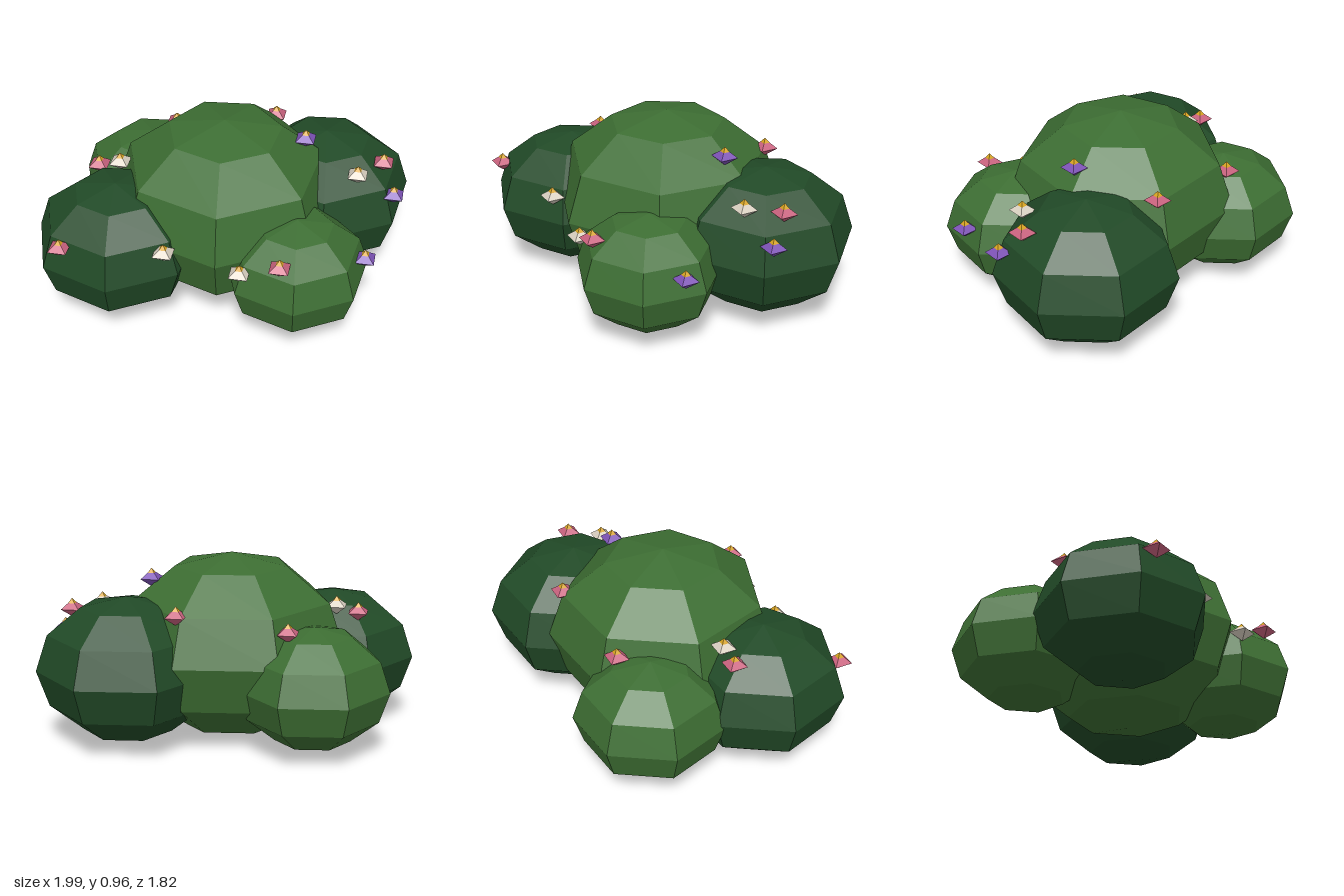
import * as THREE from 'three';

const mat = (name, color) => {
  const m = new THREE.MeshStandardMaterial({ color });
  m.name = name;
  return m;
};

export function createModel() {
  const bush = new THREE.Group();
  bush.name = 'floweringBush';

  const leafGreen = mat('leaf green', 0x3d6e33);
  const deepGreen = mat('deep green', 0x214a27);
  const pink = mat('pink petal', 0xc9627e);
  const cream = mat('cream petal', 0xd8cfc0);
  const purple = mat('purple petal', 0x7d52b5);
  const yellow = mat('flower centre yellow', 0xd9a520);

  // Faceted foliage clumps: seven-sided spheres, flattened to 80% height
  const clumpGeo = new THREE.SphereGeometry(1, 7, 6).toNonIndexed();
  clumpGeo.computeVertexNormals();
  const clumps = [
    ['mainClump', leafGreen, 0.6, 0.02, 0.48, 0],
    ['leftClump', deepGreen, 0.466, 0.575, 0.4, 0.14],
    ['rightClump', deepGreen, 0.437, -0.555, 0.365, -0.135],
    ['frontClump', leafGreen, 0.375, 0.09, 0.335, 0.54],
    ['backClump', leafGreen, 0.39, -0.1, 0.345, -0.535],
  ];
  for (const [name, material, r, x, y, z] of clumps) {
    const clump = new THREE.Mesh(clumpGeo, material);
    clump.name = name;
    clump.position.set(x, y, z);
    clump.scale.set(r, r * 0.8, r);
    bush.add(clump);
  }

  // Flowers: a squashed diamond of petals with a small yellow centre on top
  const petalGeo = new THREE.OctahedronGeometry(0.067).scale(1, 0.67, 1);
  const centreGeo = new THREE.OctahedronGeometry(0.032).translate(0, 0.021, 0);
  const flowers = [
    [purple, 0.38, 0.83, 0.21],
    [purple, 0.71, 0.545, 0.55],
    [purple, 0.345, 0.435, 0.775],
    [pink, -0.933, 0.52, -0.05],
    [pink, -0.14, 0.545, 0.71],
    [pink, 0.73, 0.675, 0.43],
    [pink, -0.49, 0.65, -0.415],
    [pink, 0.07, 0.65, -0.545],
    [pink, 0.495, 0.725, -0.2],
    [cream, -0.52, 0.51, 0.26],
    [cream, 0.54, 0.68, 0.45],
    [cream, -0.265, 0.46, 0.55],
    [cream, -0.41, 0.68, -0.335],
  ];
  flowers.forEach(([material, x, y, z], i) => {
    const flower = new THREE.Group();
    flower.name = `flower${i + 1}`;
    const petals = new THREE.Mesh(petalGeo, material);
    petals.name = 'petals';
    const centre = new THREE.Mesh(centreGeo, yellow);
    centre.name = 'flowerCentre';
    flower.add(petals, centre);
    flower.position.set(x, y, z);
    bush.add(flower);
  });

  return bush;
}
